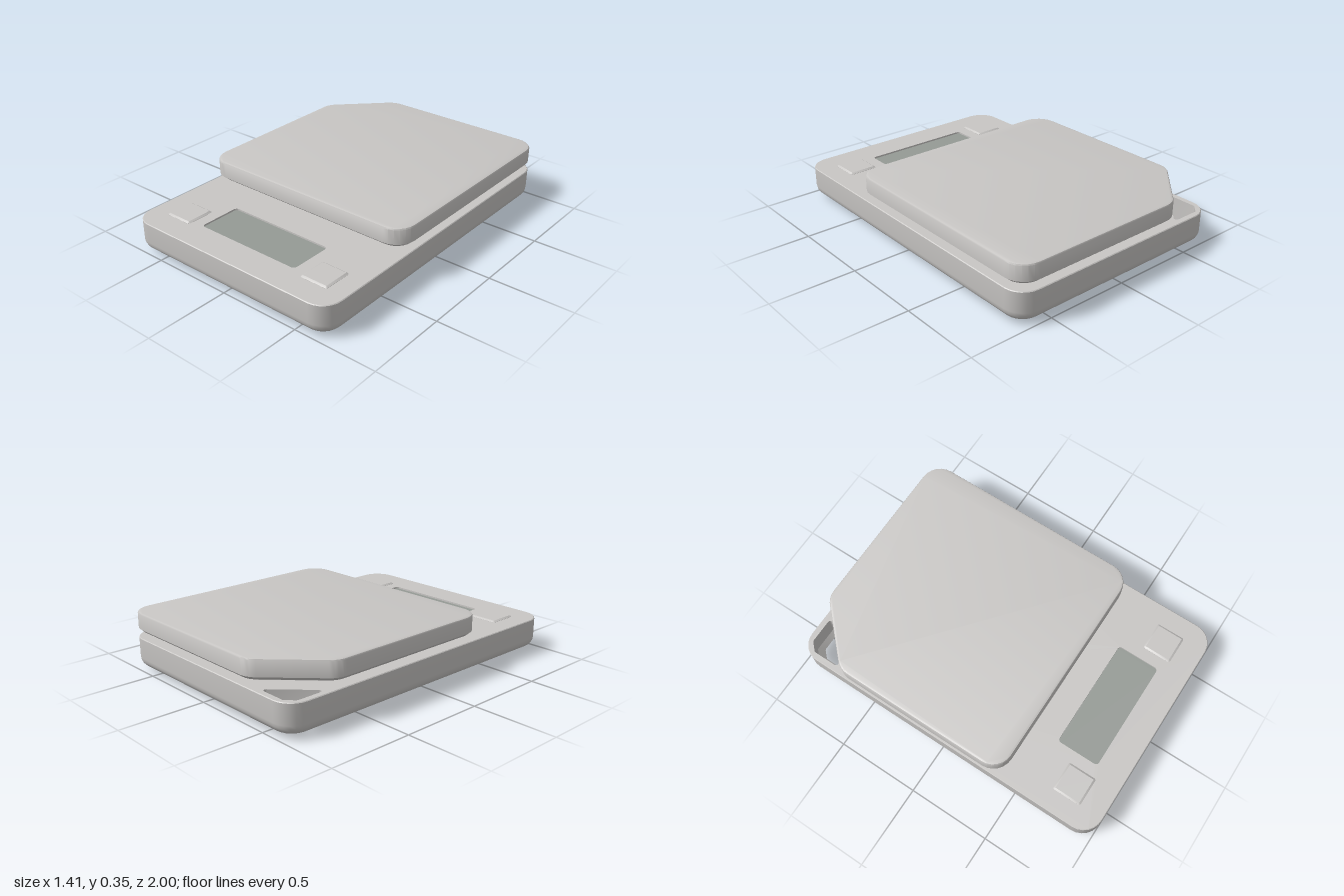
import * as THREE from 'three';
import { toCreasedNormals } from 'three/addons/utils/BufferGeometryUtils.js';

const SEGMENTS = 6;

// Convex plan outline of [x, z] points: arcs of one radius around each corner centre
function outline(centres, radius) {
  const n = centres.length;
  const normalAngle = (p, q) => Math.atan2(p[0] - q[0], q[1] - p[1]);
  const points = [];
  centres.forEach((c, i) => {
    const start = normalAngle(centres[(i + n - 1) % n], c);
    let sweep = normalAngle(c, centres[(i + 1) % n]) - start;
    if (sweep < 0) sweep += Math.PI * 2;
    for (let k = 0; k <= SEGMENTS; k++) {
      const a = start + (sweep * k) / SEGMENTS;
      points.push([c[0] + radius * Math.cos(a), c[1] + radius * Math.sin(a)]);
    }
  });
  return points;
}

const rectangle = (x, z0, z1) => [[x, z1], [-x, z1], [-x, z0], [x, z0]];

// Wall through stacked outlines, listed from low to high; inward for holes
function addWall(out, rings, inward = false) {
  for (let r = 0; r + 1 < rings.length; r++) {
    const [low, y0] = rings[r];
    const [high, y1] = rings[r + 1];
    low.forEach((p, i) => {
      const j = (i + 1) % low.length;
      const a = [p[0], y0, p[1]], b = [low[j][0], y0, low[j][1]];
      const c = [high[j][0], y1, high[j][1]], d = [high[i][0], y1, high[i][1]];
      if (inward) out.push(...a, ...c, ...d, ...a, ...b, ...c);
      else out.push(...a, ...d, ...c, ...a, ...c, ...b);
    });
  }
}

// Flat cap with optional holes, facing up or down
function addCap(out, ring, y, up, holes = []) {
  const toVectors = (points) => points.map((p) => new THREE.Vector2(p[0], p[1]));
  const all = [ring, ...holes].flat();
  for (const face of THREE.ShapeUtils.triangulateShape(toVectors(ring), holes.map(toVectors))) {
    let [a, b, c] = face.map((i) => all[i]);
    const cross = (b[0] - a[0]) * (c[1] - a[1]) - (b[1] - a[1]) * (c[0] - a[0]);
    if ((cross < 0) !== up) [b, c] = [c, b];
    for (const p of [a, b, c]) out.push(p[0], y, p[1]);
  }
}

function makeMesh(name, positions, material) {
  const geometry = new THREE.BufferGeometry();
  geometry.setAttribute('position', new THREE.Float32BufferAttribute(positions, 3));
  const mesh = new THREE.Mesh(toCreasedNormals(geometry, 0.55), material);
  mesh.name = name;
  return mesh;
}

// Closed solid from a profile of [radius, y] around the same corner centres
function solid(name, centres, profile, material) {
  const out = [];
  const rings = profile.map(([radius, y]) => [outline(centres, radius), y]);
  addWall(out, rings);
  addCap(out, ...rings[0], false);
  addCap(out, ...rings[rings.length - 1], true);
  return makeMesh(name, out, material);
}

export function createModel() {
  const model = new THREE.Group();
  model.name = 'kitchenScale';
  const shell = new THREE.MeshStandardMaterial({ color: 0xc8c6c4 });
  shell.name = 'warm grey plastic';
  const glass = new THREE.MeshStandardMaterial({ color: 0x959a95 });
  glass.name = 'grey green display';
  const rubber = new THREE.MeshStandardMaterial({ color: 0x757575 });
  rubber.name = 'dark grey rubber';

  // Body: rounded lower edge, corner hanging hole and display recess
  const top = 0.2, bottom = 0.02, fillet = 0.06, recess = 0.19;
  const bodyCentres = rectangle(0.585, -0.88, 0.88);
  const bodyRings = [];
  for (let i = 0; i <= 5; i++) {
    const a = (i / 5) * Math.PI / 2;
    bodyRings.push([
      outline(bodyCentres, 0.12 - fillet * (1 - Math.sin(a))),
      bottom + fillet * (1 - Math.cos(a)),
    ]);
  }
  bodyRings.push([outline(bodyCentres, 0.12), top - 0.004]);
  bodyRings.push([outline(bodyCentres, 0.116), top]);
  const holeTop = outline([[-0.655, -0.771], [-0.655, -0.91], [-0.615, -0.95], [-0.476, -0.95]], 0.015);
  const holeBottom = outline([[-0.62, -0.806], [-0.62, -0.89], [-0.585, -0.925], [-0.501, -0.925]], 0.015);
  const displayRing = outline(rectangle(0.32, 0.58, 0.8), 0.02);

  const body = [];
  addWall(body, bodyRings);
  addWall(body, [[holeBottom, bottom], [holeTop, 0.06], [holeTop, top]], true);
  addWall(body, [[displayRing, recess], [displayRing, top]], true);
  addCap(body, bodyRings[0][0], bottom, false, [holeBottom]);
  addCap(body, bodyRings[bodyRings.length - 1][0], top, true, [holeTop, displayRing]);
  model.add(makeMesh('body', body, shell));

  // Display at the floor of its recess
  const display = [];
  addCap(display, displayRing, recess, true);
  model.add(makeMesh('display', display, glass));

  // Weighing platform with one cut corner, on a smaller support
  const platformCentres = [[0.582, 0.285], [-0.582, 0.285], [-0.582, -0.628], [-0.33, -0.88], [0.582, -0.88]];
  model.add(solid('platformSupport', platformCentres, [[0.018, top], [0.018, 0.24]], shell));
  model.add(solid('platform', platformCentres,
    [[0.097, 0.234], [0.12, 0.254], [0.12, 0.34], [0.116, 0.347], [0.108, 0.35]], shell));

  // Raised square buttons with sloping edges, one on each side of the display
  for (const [name, side] of [['leftButton', 1], ['rightButton', -1]]) {
    const button = solid(name, rectangle(0.076, -0.076, 0.076),
      [[0.012, top - 0.003], [0.012, top + 0.001], [0.001, top + 0.009]], shell);
    button.position.set(side * 0.498, 0, 0.768);
    model.add(button);
  }

  // Feet, with one moved forward to clear the hanging hole
  const footGeometry = new THREE.CylinderGeometry(0.088, 0.088, 0.024, 40);
  for (const [x, z] of [[0.518, 0.82], [-0.518, 0.82], [0.518, -0.81], [-0.518, -0.61]]) {
    const foot = new THREE.Mesh(footGeometry, rubber);
    foot.name = 'foot';
    foot.position.set(x, 0.012, z);
    model.add(foot);
  }
  return model;
}
